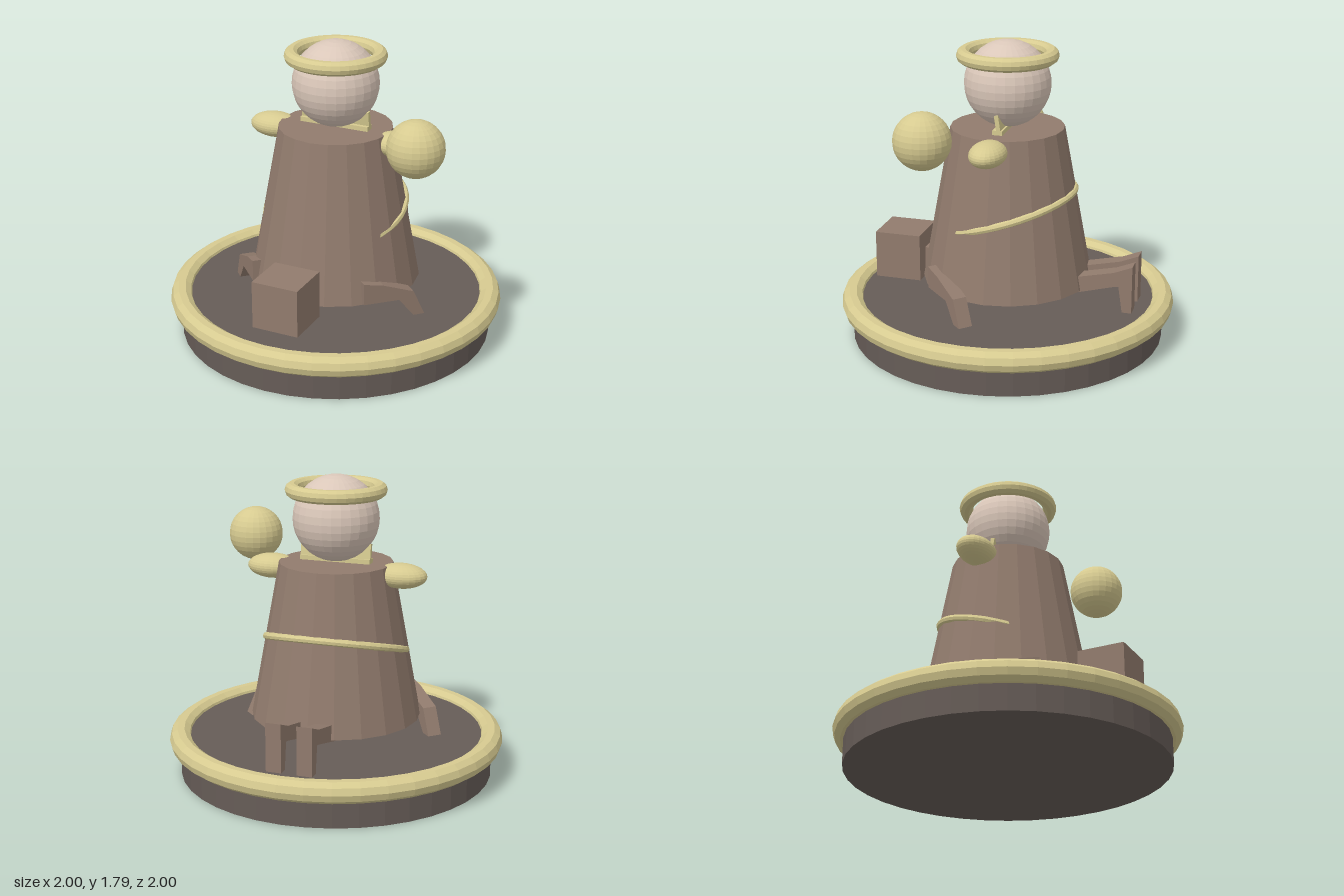
import * as THREE from 'three';

export function createModel() {
  const model = new THREE.Group();
  model.name = 'robedFigureOnDais';

  const paint = (name, color) => {
    const m = new THREE.MeshStandardMaterial({ color, flatShading: true });
    m.name = name;
    return m;
  };
  const stone = paint('dark stone', 0x665c57);
  const brown = paint('robe brown', 0x917b6d);
  const gold = paint('pale gold', 0xd6ca90);
  const skin = paint('pale skin', 0xdac7b9);

  const add = (name, geometry, material, x = 0, y = 0, z = 0) => {
    const mesh = new THREE.Mesh(geometry, material);
    mesh.name = name;
    mesh.position.set(x, y, z);
    model.add(mesh);
    return mesh;
  };
  const ring = (R, r, sides, segments) =>
    new THREE.TorusGeometry(R, r, sides, segments).rotateX(Math.PI / 2);
  // side profile given as [along, height], extruded to a centred width
  const slab = (points, width) =>
    new THREE.ExtrudeGeometry(
      new THREE.Shape(points.map(([s, y]) => new THREE.Vector2(s, y))),
      { depth: width, bevelEnabled: false }
    ).translate(0, 0, -width / 2);

  // dais with a rounded rim
  add('daisBase', new THREE.CylinderGeometry(0.935, 0.935, 0.24, 40), stone, 0, 0.12);
  add('daisRim', ring(0.933, 0.067, 10, 40), gold, 0, 0.215);

  // robe, head and halo
  add('robe', new THREE.CylinderGeometry(0.335, 0.505, 0.93, 20), brown, 0, 0.815);
  add('head', new THREE.SphereGeometry(0.254, 28, 18), skin, 0, 1.538);
  add('halo', ring(0.256, 0.042, 10, 36), gold, 0, 1.703);

  // tilted sash, sunk into the robe at the front
  add('sash', ring(0.416, 0.022, 8, 40), gold, 0, 0.782).rotation.x = 0.3;

  // collar plate behind the chin
  add('collarFoot', new THREE.BoxGeometry(0.43, 0.03, 0.06), gold, 0, 1.292, 0);
  add('collarPlate', new THREE.BoxGeometry(0.43, 0.1, 0.025), gold, 0, 1.345, 0).rotation.x = 0.15;

  // shoulder pads
  for (const side of [1, -1]) {
    const pad = new THREE.SphereGeometry(1, 24, 16).scale(0.155, 0.073, 0.106);
    add(side > 0 ? 'leftShoulder' : 'rightShoulder', pad, gold, side * 0.397, 1.223, 0);
  }

  // floating orb
  add('orb', new THREE.SphereGeometry(0.164, 24, 16), gold, 0.63, 1.342, 0.305);

  // beast crouching beneath the robe
  add('beastBody', slab([
    [-0.44, 0.345], [0.1, 0.316], [0.41, 0.322], [0.44, 0.44], [-0.44, 0.48],
  ], 0.25), brown).rotation.y = Math.PI / 2;
  add('beastNeck', new THREE.BoxGeometry(0.09, 0.12, 0.14), brown, 0, 0.42, 0.47);
  add('beastHead', new THREE.BoxGeometry(0.285, 0.285, 0.28), brown, 0, 0.442, 0.65);

  const hindLeg = [
    [0.4, 0.318], [0.68, 0.395], [0.71, 0.4], [0.735, 0.23], [0.79, 0.23],
    [0.79, 0.528], [0.68, 0.483], [0.4, 0.42],
  ];
  const frontLeg = [
    [-0.12, 0.36], [0.1, 0.355], [0.2, 0.23], [0.265, 0.23], [0.19, 0.395],
    [0, 0.465], [-0.12, 0.49],
  ];
  for (const side of [1, -1]) {
    const label = side > 0 ? 'left' : 'right';
    add(label + 'HindLeg', slab(hindLeg, 0.092), brown, side * 0.092).rotation.y = Math.PI / 2;
    // front legs splay outward and back
    add(label + 'FrontLeg', slab(frontLeg, 0.085), brown, side * 0.415, 0, 0.265)
      .rotation.y = side > 0 ? 0.806 : Math.PI - 0.806;
  }

  return model;
}
